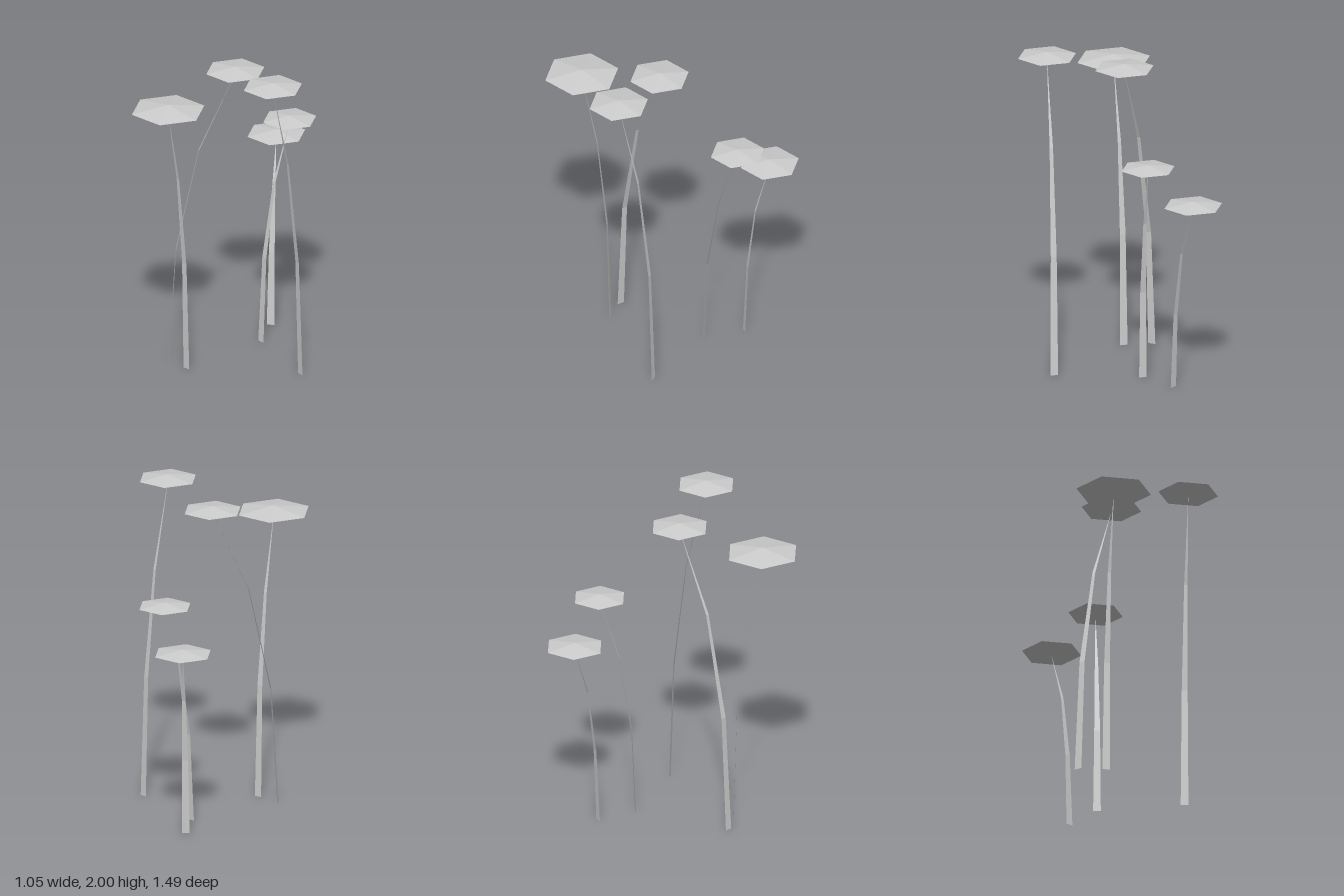
import * as THREE from 'three';

const grey = new THREE.MeshStandardMaterial({ color: 0xcccccc, flatShading: true, side: THREE.DoubleSide });
grey.name = 'light grey';

// Ribbon widths from the foot to the pointed tip
const WIDTHS = [0.047, 0.036, 0.021, 0.001];

// Each plant: cap centre, cap radius, ribbon direction (x, z) and stem centres from the ground up
const PLANTS = [
  { cap: [0.345, 1.972, 0.187], r: 0.184, across: [0.98, 0.2],
    stem: [[0.367, 0, -0.034], [0.363, 0.75, -0.01], [0.355, 1.42, 0.065]] },
  { cap: [-0.1, 1.897, 0.04], r: 0.184, across: [0.75, 0.66],
    stem: [[-0.367, 0, 0.345], [-0.336, 0.73, 0.314], [-0.243, 1.38, 0.213]] },
  { cap: [-0.187, 1.775, 0.545], r: 0.23, across: [1, 0],
    stem: [[-0.198, 0, 0.37], [-0.197, 0.7, 0.39], [-0.194, 1.28, 0.45]] },
  { cap: [-0.1, 1.415, -0.445], r: 0.168, across: [0.99, 0.08],
    stem: [[-0.135, 0, -0.226], [-0.129, 0.55, -0.25], [-0.118, 1.02, -0.325]] },
  { cap: [-0.342, 1.2, -0.588], r: 0.183, across: [0.87, -0.5],
    stem: [[-0.26, 0, -0.448], [-0.268, 0.47, -0.467], [-0.292, 0.87, -0.51]] },
];

// Flat tapering ribbon through the given centres
function ribbon(centres, [ax, az]) {
  const pos = [], idx = [];
  centres.forEach(([x, y, z], i) => {
    const h = WIDTHS[i] / 2;
    pos.push(x - ax * h, y, z - az * h, x + ax * h, y, z + az * h);
    if (i) {
      const a = (i - 1) * 2;
      idx.push(a, a + 1, a + 3, a, a + 3, a + 2);
    }
  });
  const g = new THREE.BufferGeometry();
  g.setAttribute('position', new THREE.Float32BufferAttribute(pos, 3));
  g.setIndex(idx);
  g.computeVertexNormals();
  return g;
}

// Shallow six-sided double cone with corners on the x axis
function capGeometry(r) {
  const profile = [[0, -0.13 * r], [r, 0], [0, 0.15 * r]].map(([x, y]) => new THREE.Vector2(x, y));
  return new THREE.LatheGeometry(profile, 6, Math.PI / 2);
}

export function createModel() {
  const model = new THREE.Group();
  model.name = 'mushroomCluster';
  for (const { cap, r, across, stem } of PLANTS) {
    const plant = new THREE.Group();
    plant.name = 'mushroom';

    const tip = [cap[0], cap[1] - 0.02, cap[2]];
    const stalk = new THREE.Mesh(ribbon([...stem, tip], across), grey);
    stalk.name = 'stem';

    const top = new THREE.Mesh(capGeometry(r), grey);
    top.name = 'cap';
    top.position.set(...cap);

    plant.add(stalk, top);
    model.add(plant);
  }
  return model;
}
